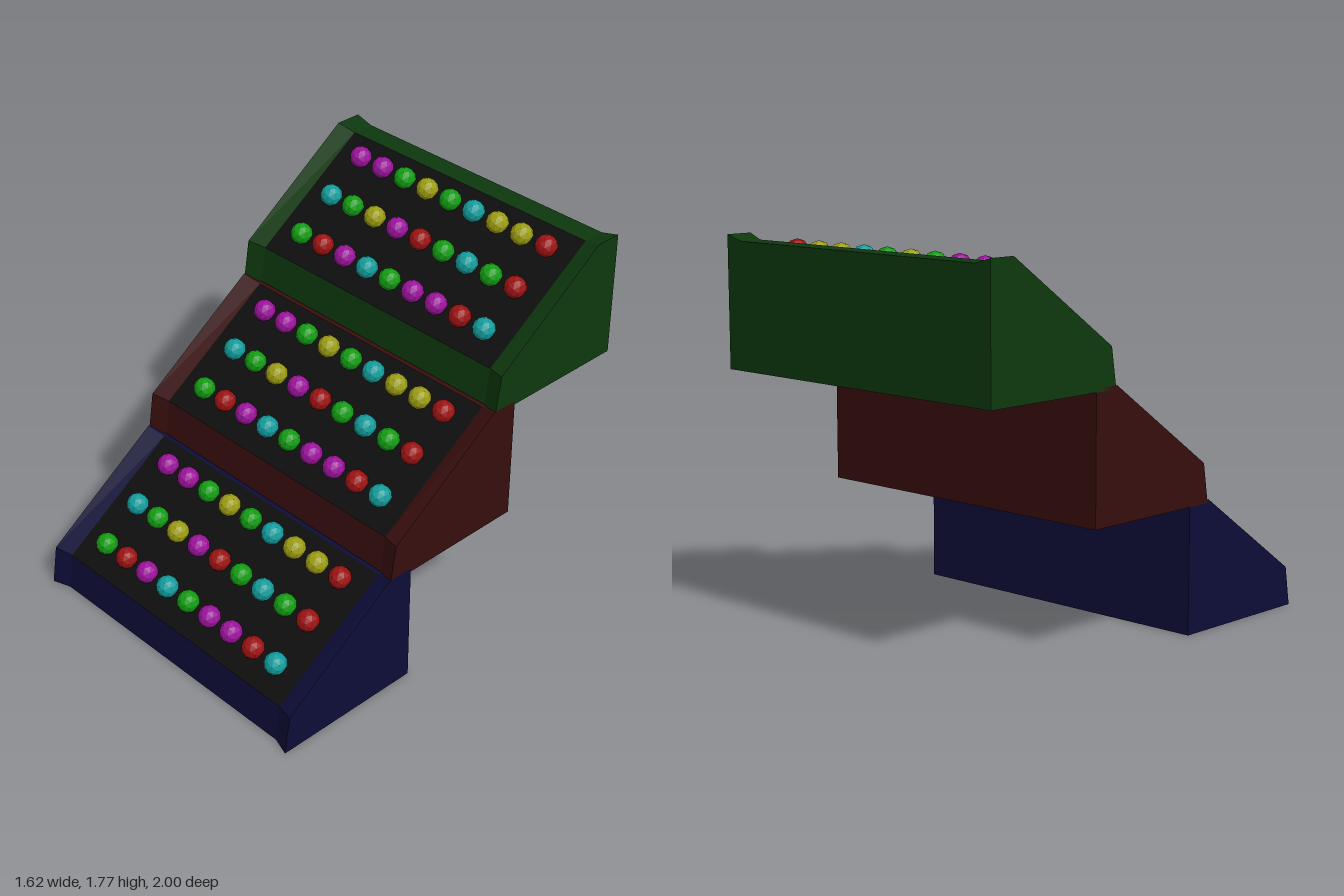
import * as THREE from 'three';

const mat = (color) => new THREE.MeshStandardMaterial({ color, flatShading: true });

// Side profiles as [z, y], from the bottom front over the top to the bottom back.
const OUTER = [[0, 0], [-0.03, 0.185], [-0.62, 0.6], [-0.75, 0.6], [-0.75, 0]];
const INNER = [[-0.03, 0], [-0.055, 0.175], [-0.64, 0.575], [-0.75, 0.575], [-0.75, 0]];
const SECTIONS = [[-0.81, OUTER], [-0.72, INNER], [0.72, INNER], [0.81, OUTER]];

// Button colours, front row first
const COLORS = { R: 0x9c1212, G: 0x129c12, M: 0x9c129c, C: 0x129c9c, Y: 0x9c9c12 };
const ROWS = ['GRMCGMMRC', 'CGYMRGCGR', 'MMGYGCYYR'];

// Collects corner-ordered faces into a geometry
function facesToGeometry(faces) {
  const pos = [];
  for (const f of faces) {
    for (let i = 1; i < f.length - 1; i++) pos.push(...f[0], ...f[i], ...f[i + 1]);
  }
  const g = new THREE.BufferGeometry();
  g.setAttribute('position', new THREE.Float32BufferAttribute(pos, 3));
  g.computeVertexNormals();
  return g;
}

// Casing lofted across the sections; the slope of the middle bay is the panel
function tierGeometries() {
  const rings = SECTIONS.map(([x, profile]) => profile.map(([z, y]) => [x, y, z]));
  const casing = [[...rings[0]], [...rings[3]].reverse()];
  const panel = [];
  for (let s = 0; s < 3; s++) {
    const a = rings[s], b = rings[s + 1];
    for (let j = 0; j < a.length; j++) {
      const k = (j + 1) % a.length;
      (s === 1 && j === 1 ? panel : casing).push([a[j], b[j], b[k], a[k]]);
    }
  }
  return { casing: facesToGeometry(casing), panel: facesToGeometry(panel) };
}

export function createModel() {
  const model = new THREE.Group();
  model.name = 'tieredConsole';
  const { casing, panel } = tierGeometries();
  const panelMat = mat(0x0e0e0e);
  const ball = new THREE.IcosahedronGeometry(0.053, 1);
  const ballMats = {};
  for (const key in COLORS) ballMats[key] = mat(COLORS[key]);

  const add = (parent, name, geometry, material) => {
    const mesh = new THREE.Mesh(geometry, material);
    mesh.name = name;
    parent.add(mesh);
    return mesh;
  };

  // Three identical tiers, stepping up and back
  [['lowerTier', 0x0d0d38], ['middleTier', 0x380e0e], ['upperTier', 0x0e380e]].forEach(([name, color], t) => {
    const tier = new THREE.Group();
    tier.name = name;
    tier.position.set(0, t * 0.583, 1 - t * 0.625);
    add(tier, 'casing', casing, mat(color));
    add(tier, 'buttonPanel', panel, panelMat);

    // Rows of round buttons half sunk into the panel
    const buttons = new THREE.Group();
    buttons.name = 'buttons';
    ROWS.forEach((row, r) => {
      [...row].forEach((key, c) => {
        add(buttons, 'button', ball, ballMats[key])
          .position.set(-0.58 + c * 0.145, 0.268 + r * 0.131, -0.16 - r * 0.1925);
      });
    });
    tier.add(buttons);
    model.add(tier);
  });
  return model;
}
